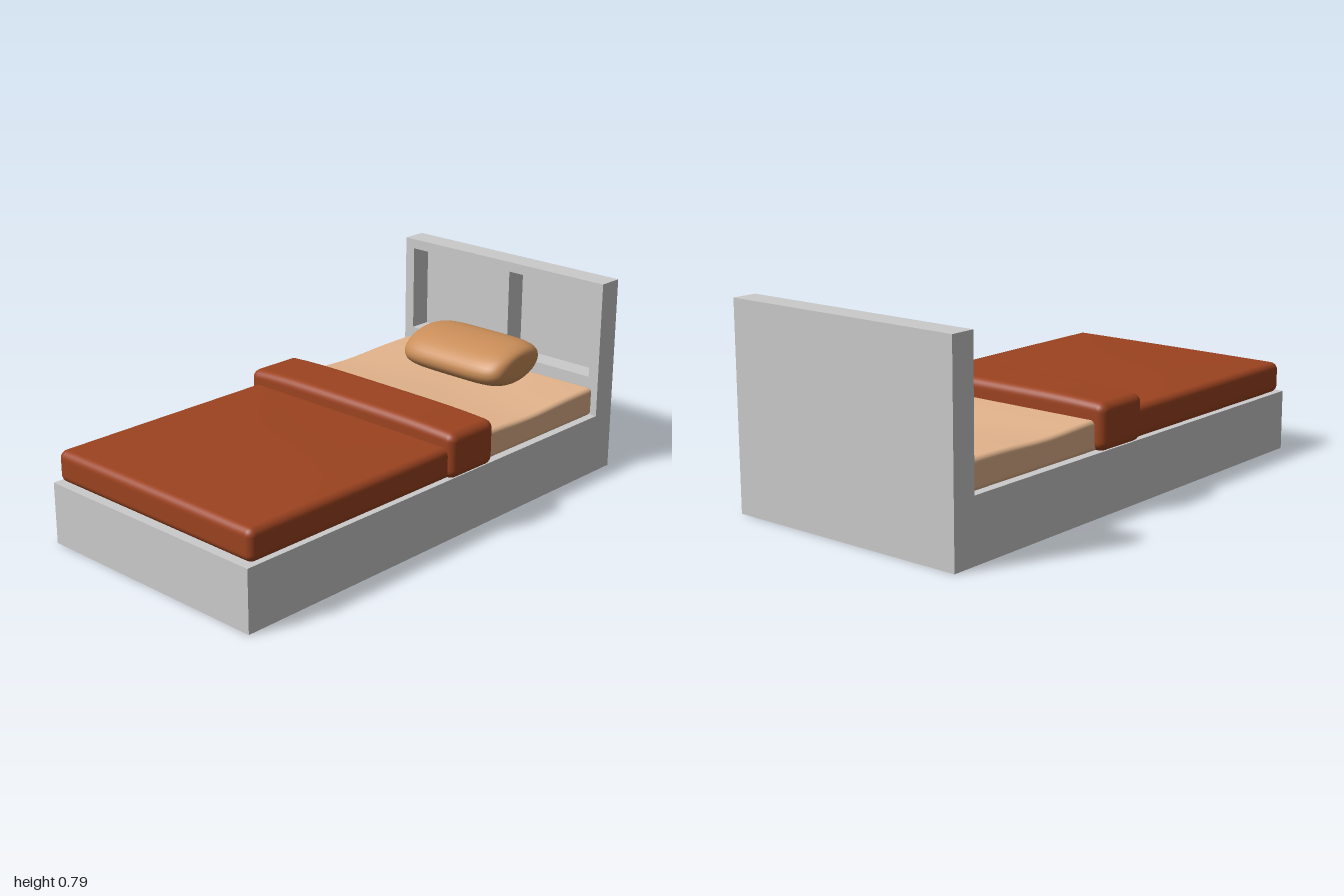
import * as THREE from 'three';
import { mergeVertices } from 'three/addons/utils/BufferGeometryUtils.js';

const mat = (color) => new THREE.MeshStandardMaterial({ color });

// Soft box between two corners: fine rows at the rounded edges, coarser rows
// across the faces; sag(x, z) shifts the upper surface.
function softBox(min, max, radius, sag = () => 0) {
  const edge = 5, mid = 16, n = edge * 2 + mid;
  const geo = new THREE.BoxGeometry(1, 1, 1, n, n, n);
  geo.deleteAttribute('normal');
  geo.deleteAttribute('uv');
  const remap = (t, a, b) => {
    const i = Math.round((t + 0.5) * n);
    if (i < edge) return a + radius * (1 - Math.tan((1 - i / edge) * Math.PI / 4));
    if (i > n - edge) return b - radius * (1 - Math.tan((1 - (n - i) / edge) * Math.PI / 4));
    return a + radius + (b - a - 2 * radius) * (i - edge) / mid;
  };
  const pos = geo.attributes.position;
  const p = new THREE.Vector3(), core = new THREE.Vector3();
  const lo = min.clone().addScalar(radius), hi = max.clone().addScalar(-radius);
  for (let i = 0; i < pos.count; i++) {
    p.set(
      remap(pos.getX(i), min.x, max.x),
      remap(pos.getY(i), min.y, max.y),
      remap(pos.getZ(i), min.z, max.z));
    core.copy(p).clamp(lo, hi);
    p.sub(core).setLength(radius).add(core);
    const height = (p.y - min.y) / (max.y - min.y);
    p.y += sag(p.x, p.z) * height * height;
    pos.setXYZ(i, p.x, p.y, p.z);
  }
  const smooth = mergeVertices(geo, 1e-5);
  smooth.computeVertexNormals();
  return smooth;
}

// Pillow: a squarish profile turned about the long axis, flattened and tilted
function pillowGeometry() {
  const power = 2 / 5, profile = [];
  for (let i = 0; i <= 32; i++) {
    const a = (i / 32 - 0.5) * Math.PI;
    const s = Math.sin(a), c = Math.max(0, Math.cos(a));
    profile.push(new THREE.Vector2(i % 32 ? c ** power : 0, Math.sign(s) * Math.abs(s) ** power));
  }
  const geo = new THREE.LatheGeometry(profile, 40);
  geo.rotateZ(Math.PI / 2);
  geo.scale(0.26, 0.08, 0.167);
  geo.rotateX(0.14);
  return geo;
}

// Headboard frame with two recessed panels
function headboardGeometry() {
  const rect = (path, x0, y0, x1, y1) =>
    path.moveTo(x0, y0).lineTo(x1, y0).lineTo(x1, y1).lineTo(x0, y1).closePath();
  const shape = rect(new THREE.Shape(), -0.51, 0, 0.51, 0.785);
  for (const x of [-0.465, 0.05]) {
    shape.holes.push(rect(new THREE.Path(), x, 0.395, x + 0.415, 0.745));
  }
  return new THREE.ExtrudeGeometry(shape, { depth: 0.09, bevelEnabled: false });
}

export function createModel() {
  const group = new THREE.Group();
  const v = (x, y, z) => new THREE.Vector3(x, y, z);
  const grey = mat(0xcccccc), rust = mat(0x9c4320);
  const add = (name, geometry, material, x = 0, y = 0, z = 0) => {
    const mesh = new THREE.Mesh(geometry, material);
    mesh.name = name;
    mesh.position.set(x, y, z);
    group.add(mesh);
  };

  // Wooden frame
  add('base', new THREE.BoxGeometry(1.02, 0.24, 1.9), grey, 0, 0.12, 0.05);
  add('headboardFrame', headboardGeometry(), grey, 0, 0, -0.99);
  add('headboardBack', new THREE.BoxGeometry(1.02, 0.785, 0.01), grey, 0, 0.3925, -0.995);

  // Mattress, pressed in under the pillow
  const press = (x, z) =>
    -0.01 * Math.exp(-(((z + 0.5) / 0.17) ** 2))
    - 0.015 * Math.exp(-((x / 0.25) ** 2) - ((z + 0.7) / 0.17) ** 2);
  add('mattress', softBox(v(-0.49, 0.24, -0.9), v(0.49, 0.355, -0.1), 0.02, press), mat(0xe3b48c));

  // Cover with a slight crown, and its thick folded edge
  const crown = (x, z) => 0.008 * (1 - (x / 0.5) ** 2) * (1 - ((z - 0.47) / 0.52) ** 2);
  add('blanket', softBox(v(-0.505, 0.24, -0.04), v(0.505, 0.363, 0.98), 0.03, crown), rust);
  const foldCrown = (x) => -0.012 * Math.abs(x / 0.53) ** 4;
  add('blanketFold', softBox(v(-0.528, 0.24, -0.237), v(0.528, 0.427, 0.006), 0.035, foldCrown), rust);

  add('pillow', pillowGeometry(), mat(0xc98d58), 0, 0.43, -0.728);
  return group;
}
